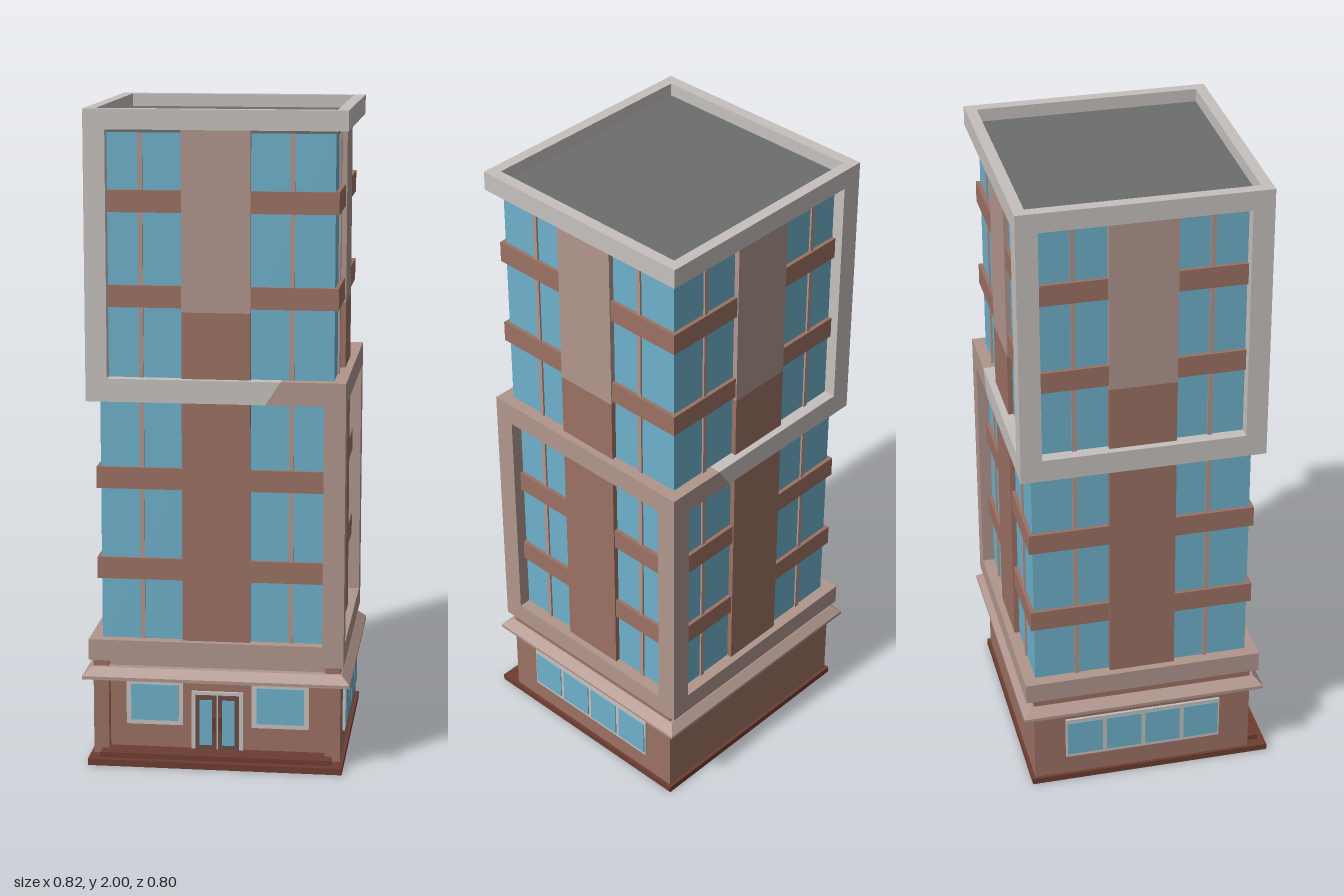
import * as THREE from 'three';

const mat = (name, color) => {
  const m = new THREE.MeshStandardMaterial({ color });
  m.name = name;
  return m;
};

export function createModel() {
  const brick = mat('brown brick', 0x9c7163);
  const pink = mat('pale pink stone', 0xb0968d);
  const grey = mat('light grey stone', 0xc6c1be);
  const glass = mat('blue glass', 0x6eb1cb);
  const dark = mat('dark red plinth', 0x6e3d31);
  const roofGrey = mat('roof grey', 0x6b6e6d);
  const doorBrown = mat('door brown', 0x6b4c45);

  const model = new THREE.Group();
  model.name = 'towerBuilding';
  const C = -0.012; // depth centre of the tower
  const add = (name, geo, material) => {
    const m = new THREE.Mesh(geo, material);
    m.name = name;
    model.add(m);
    return m;
  };
  // Box given by its minimum and maximum along each axis
  const box = (name, material, x0, x1, y0, y1, z0, z1) => {
    const m = add(name, new THREE.BoxGeometry(x1 - x0, y1 - y0, z1 - z0), material);
    m.position.set((x0 + x1) / 2, (y0 + y1) / 2, (z0 + z1) / 2);
    return m;
  };
  // Box centred on the tower axis, given by half sizes
  const slab = (name, material, hx, hz, y0, y1) => box(name, material, -hx, hx, y0, y1, C - hz, C + hz);

  // Plinth and front step
  box('plinth', dark, -0.39, 0.39, 0, 0.02, -0.372, 0.4);
  box('frontStep', dark, -0.355, 0.355, 0.02, 0.036, 0.2, 0.379);

  // Ground floor with a recessed front between two corner piers
  const wallZ = 0.305, pierZ = 0.338;
  box('groundFloor', brick, -0.38, 0.38, 0.02, 0.325, -0.362, wallZ);
  for (const s of [-1, 1]) {
    const a = 0.333 * s, b = 0.38 * s;
    box('cornerPier', brick, Math.min(a, b), Math.max(a, b), 0.02, 0.325, wallZ, pierZ);
  }
  box('fasciaBand', pink, -0.333, 0.333, 0.28, 0.325, wallZ, 0.325);

  // Sloped cornice with a thin lip
  slab('corniceLip', pink, 0.41, 0.386, 0.265, 0.275);
  const slope = new THREE.CylinderGeometry(0.935 * Math.SQRT2, Math.SQRT2, 0.025, 4, 1);
  slope.rotateY(Math.PI / 4);
  slope.scale(0.41, 1, 0.386);
  const slopeFlat = slope.toNonIndexed();
  slopeFlat.computeVertexNormals();
  add('corniceSlope', slopeFlat, pink).position.set(0, 0.2875, C);

  // Front windows
  for (const x of [-0.194, 0.194]) {
    box('frontWindowFrame', grey, x - 0.088, x + 0.088, 0.11, 0.252, wallZ, wallZ + 0.009);
    box('frontWindowGlass', glass, x - 0.073, x + 0.073, 0.124, 0.238, wallZ, wallZ + 0.012);
  }

  // Double door
  box('doorFrame', grey, -0.08, 0.08, 0.036, 0.22, wallZ, wallZ + 0.009);
  for (const s of [-1, 1]) {
    const x = 0.035 * s;
    box('doorLeaf', doorBrown, x - 0.032, x + 0.032, 0.036, 0.21, wallZ, wallZ + 0.014);
    box('doorGlass', glass, x - 0.019, x + 0.019, 0.052, 0.196, wallZ, wallZ + 0.017);
    box('doorHandle', dark, 0.01 * s - 0.004, 0.01 * s + 0.004, 0.1, 0.145, wallZ, wallZ + 0.028);
  }

  // Four-pane side windows
  for (const s of [-1, 1]) {
    const plate = (name, material, out, y0, y1, z0, z1) =>
      box(name, material, s * 0.38 + Math.min(0, s * out), s * 0.38 + Math.max(0, s * out), y0, y1, z0, z1);
    plate('sideWindowFrame', grey, 0.008, 0.088, 0.232, -0.262, 0.238);
    for (let i = 0; i < 4; i++) {
      const z = -0.2 + i * 0.1255;
      plate('sideWindowPane', glass, 0.011, 0.1, 0.22, z - 0.056, z + 0.056);
    }
  }

  // Glazed core of the tower
  const GX = 0.352, GZ = 0.338, Y0 = 0.39, Y1 = 1.94;
  slab('glazedCore', glass, GX, GZ, Y0 - 0.03, Y1);

  // Central wall strips on all four sides, paler at the top
  for (const [name, m, a, b] of [['lowerWallStrip', brick, Y0, 1.4], ['upperWallStrip', pink, 1.4, Y1]]) {
    slab(name, m, 0.103, GZ + 0.016, a, b);
    slab(name, m, GX + 0.016, 0.103, a, b);
  }

  // Floor bands
  for (const y of [0.611, 0.892, 1.445, 1.728]) slab('floorBand', brick, GX + 0.012, GZ + 0.012, y - 0.033, y + 0.033);

  // Window mullions
  for (const s of [-1, 1]) {
    const x = 0.226 * s, z = C + 0.206 * s;
    box('mullion', pink, x - 0.007, x + 0.007, Y0, Y1, C - GZ - 0.006, C + GZ + 0.006);
    box('mullion', pink, -GX - 0.006, GX + 0.006, Y0, Y1, z - 0.007, z + 0.007);
  }

  // Outer frames: pink on the lower right, grey on the upper left
  const FX = 0.39, FZ = 0.375, W = 0.065;
  slab('lowerFrameBase', pink, FX, FZ, 0.325, Y0);
  for (const s of [-1, 1]) {
    const z0 = C + (s > 0 ? FZ - W : -FZ), z1 = z0 + W;
    box('lowerFramePost', pink, FX - W, FX, Y0, 1.13, z0, z1);
    box('upperFramePost', grey, -FX, -FX + W, 1.2, Y1, z0, z1);
    // Middle beam, cut on a diagonal where the two frames meet
    const beam = (name, m, pts) => {
      const shape = new THREE.Shape(pts.map(p => new THREE.Vector2(...p)));
      add(name, new THREE.ExtrudeGeometry(shape, { depth: W, bevelEnabled: false }), m).position.z = z0;
    };
    beam('upperFrameBeam', grey, [[-FX, 1.13], [0.15, 1.13], [0.195, 1.2], [-FX, 1.2]]);
    beam('lowerFrameBeam', pink, [[0.15, 1.13], [FX, 1.13], [FX, 1.2], [0.195, 1.2]]);
  }
  box('upperFrameSideBeam', grey, -FX, -FX + W, 1.13, 1.2, C - FZ + W, C + FZ - W);
  box('lowerFrameSideBeam', pink, FX - W, FX, 1.13, 1.2, C - FZ + W, C + FZ - W);

  // Roof deck and parapet ring
  slab('roofDeck', roofGrey, 0.36, 0.345, 1.93, 1.96);
  const ring = new THREE.Shape();
  const rect = (p, x, z) => p.moveTo(-x, -z).lineTo(x, -z).lineTo(x, z).lineTo(-x, z).closePath();
  rect(ring, FX, FZ);
  const hole = new THREE.Path();
  rect(hole, 0.355, 0.341);
  ring.holes.push(hole);
  const parapet = add('parapet', new THREE.ExtrudeGeometry(ring, { depth: 0.06, bevelEnabled: false }), grey);
  parapet.rotation.x = -Math.PI / 2;
  parapet.position.set(0, Y1, C);

  return model;
}
